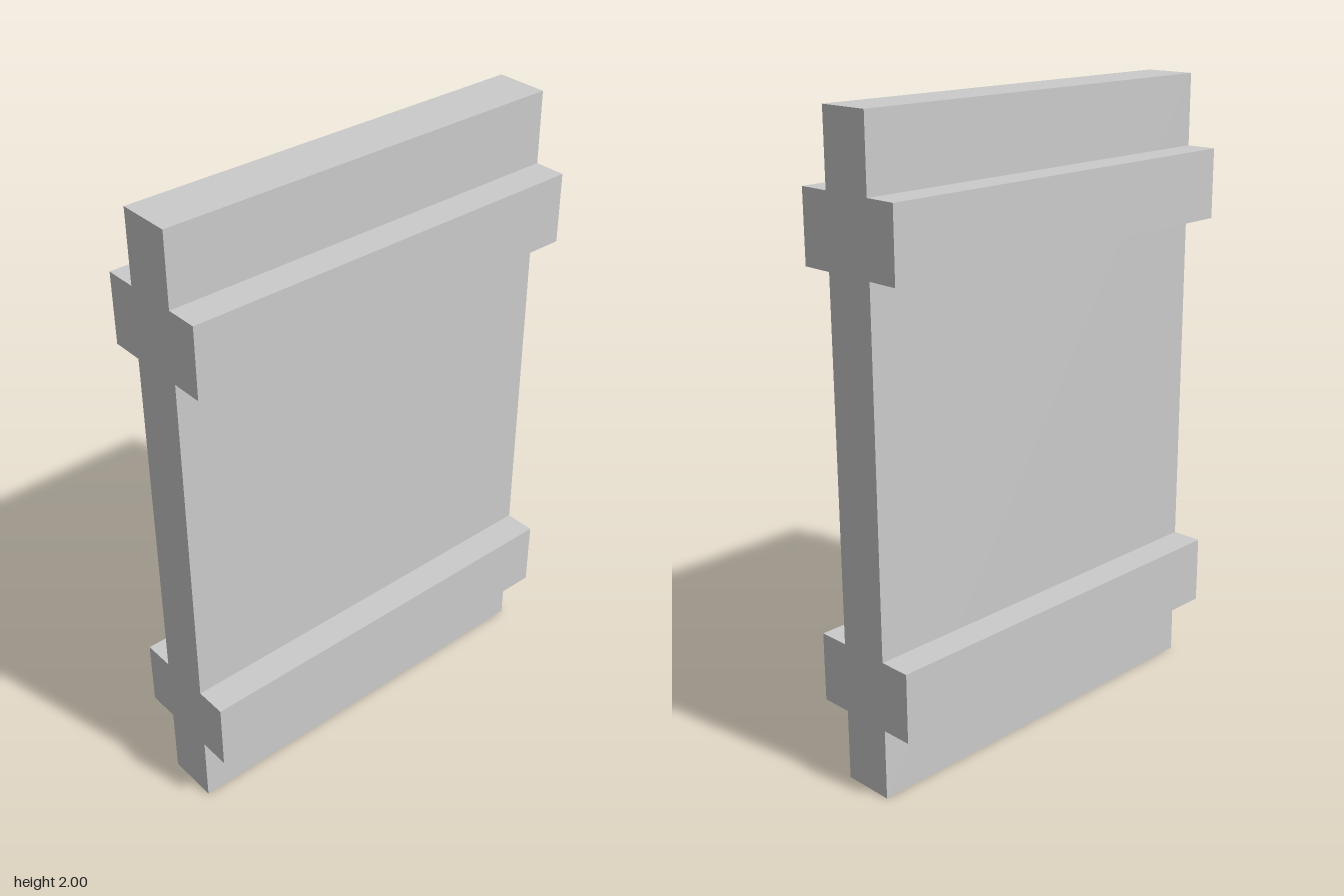
import * as THREE from 'three';

const WIDTH = 1.333;
const HEIGHT = 2;
const PANEL_DEPTH = 0.167;
const BATTEN_HEIGHT = 0.22;
const BATTEN_DEPTH = 0.101;
const BATTEN_OFFSET = 0.665; // batten centre above or below the panel's middle

export function createModel() {
  const group = new THREE.Group();
  group.name = 'battenedPanel';
  const material = new THREE.MeshStandardMaterial({ color: 0xcccccc, flatShading: true });

  const addBox = (name, height, depth, y, z) => {
    const mesh = new THREE.Mesh(new THREE.BoxGeometry(WIDTH, height, depth), material);
    mesh.name = name;
    mesh.position.set(0, y, z);
    group.add(mesh);
  };

  // Upright panel
  addBox('panel', HEIGHT, PANEL_DEPTH, HEIGHT / 2, 0);

  // Upper and lower battens on the front and back faces
  for (const [level, ySide] of [['upper', 1], ['lower', -1]]) {
    for (const [face, zSide] of [['Front', 1], ['Back', -1]]) {
      addBox(
        `${level}${face}Batten`,
        BATTEN_HEIGHT,
        BATTEN_DEPTH,
        HEIGHT / 2 + ySide * BATTEN_OFFSET,
        zSide * (PANEL_DEPTH + BATTEN_DEPTH) / 2
      );
    }
  }

  return group;
}
